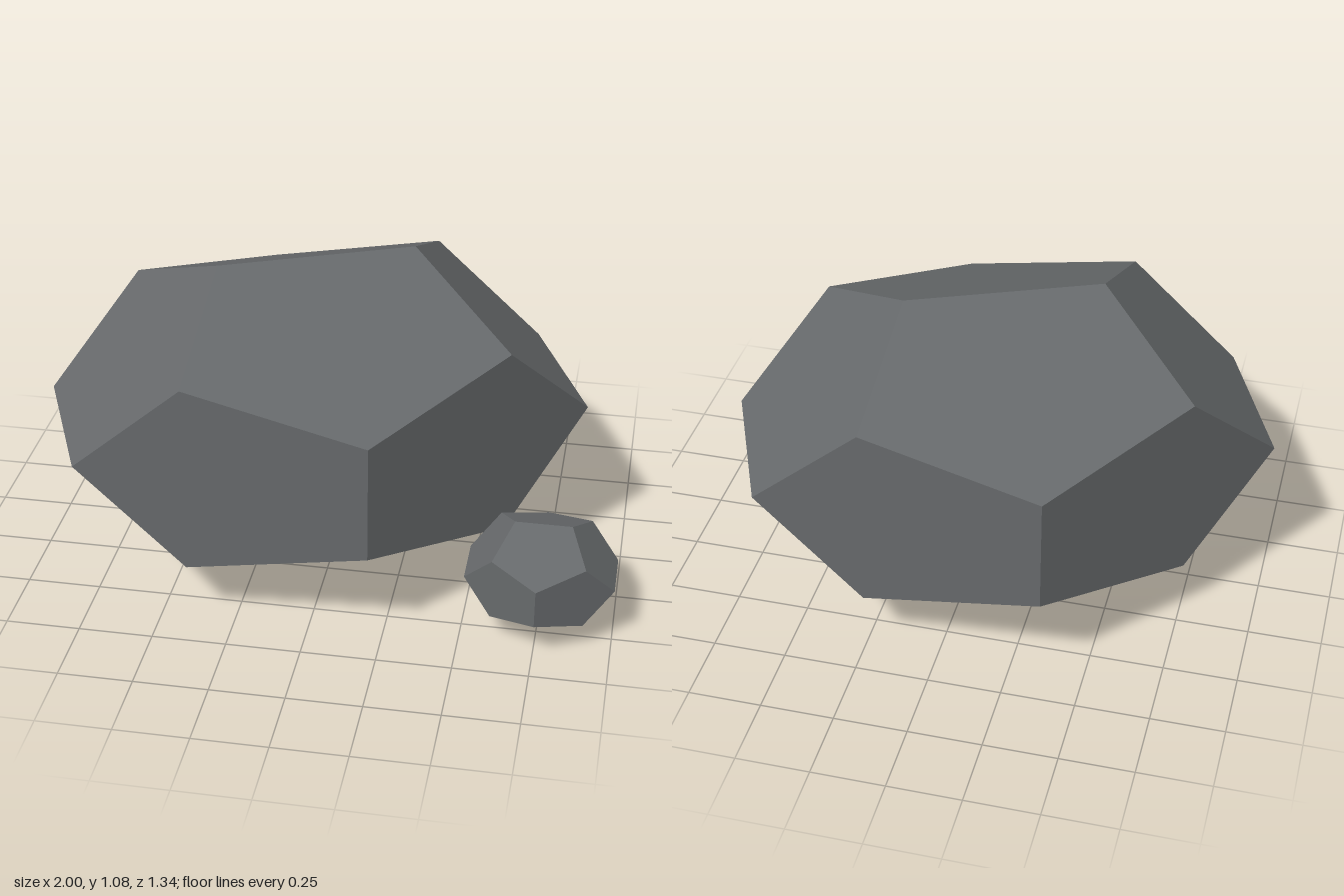
import * as THREE from 'three';

export function createModel() {
  const group = new THREE.Group();
  group.name = 'rocks';

  const stone = new THREE.MeshStandardMaterial({ color: 0x66696b });
  stone.name = 'stone grey';

  // A faceted twelve-sided rock, squashed by its scale and turned about y
  function addRock(name, position, scale, turn) {
    const rock = new THREE.Mesh(new THREE.DodecahedronGeometry(Math.sqrt(3), 0), stone);
    rock.name = name;
    rock.position.set(...position);
    rock.scale.set(...scale);
    rock.rotation.y = turn;
    group.add(rock);
  }

  addRock('boulder', [-0.076, 0.54, 0], [0.548, 0.333, 0.451], 0.4);
  addRock('pebble', [0.752, 0.195, 0.411], [0.153, 0.107, 0.152], 0);

  return group;
}
